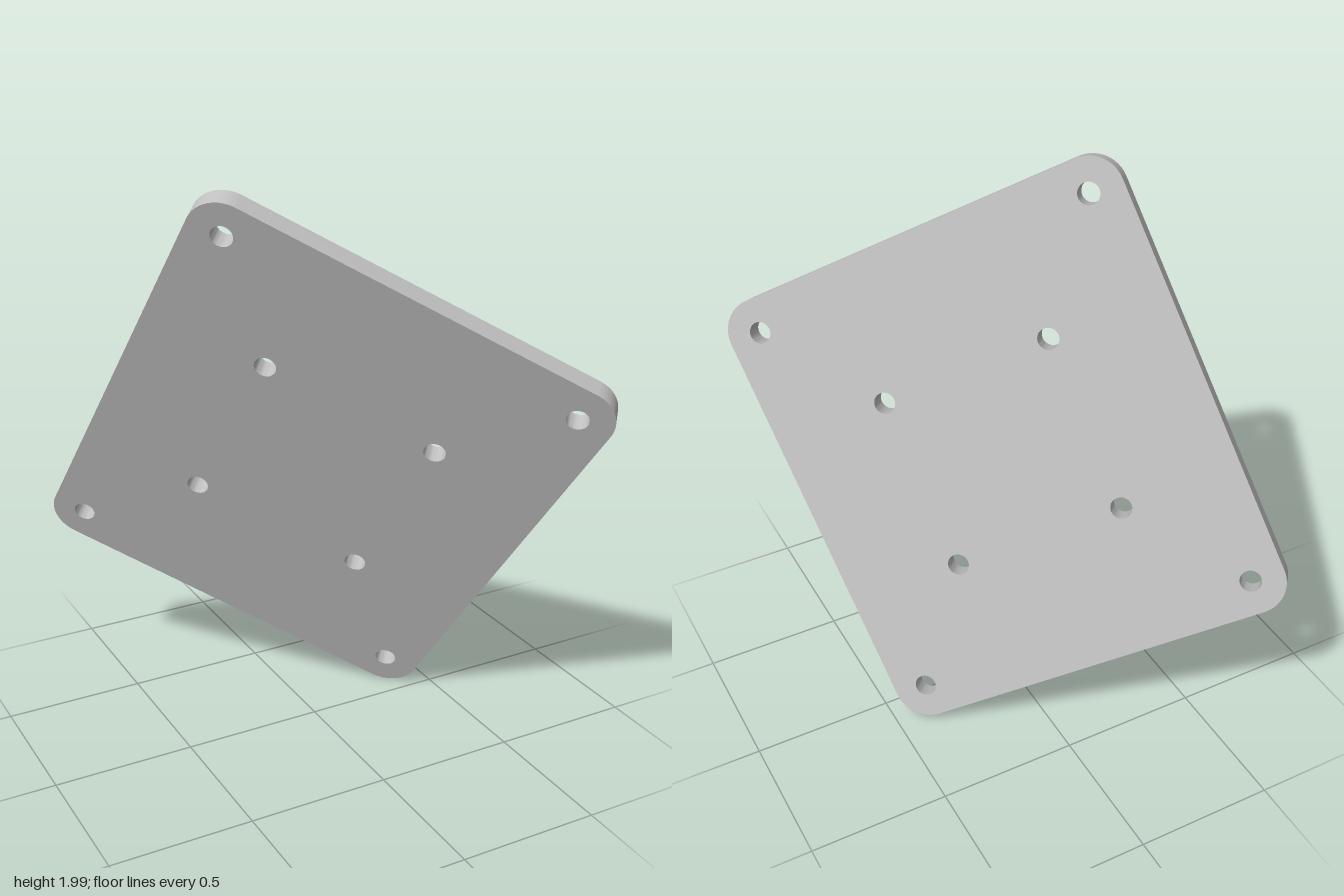
import * as THREE from 'three';
import { toCreasedNormals } from 'three/addons/utils/BufferGeometryUtils.js';

const HX = 0.63, HY = 0.704;   // corner hole offsets, also the corner arc centres
const CORNER = 0.12;           // corner radius
const INNER = 0.315;           // inner square hole offset
const HOLE = 0.038;            // hole radius
const THICK = 0.075;

// Rounded rectangle with one hole per corner and four in an inner square
function plateShape() {
  const s = new THREE.Shape();
  s.absarc(HX, HY, CORNER, 0, Math.PI / 2);
  s.absarc(-HX, HY, CORNER, Math.PI / 2, Math.PI);
  s.absarc(-HX, -HY, CORNER, Math.PI, Math.PI * 1.5);
  s.absarc(HX, -HY, CORNER, Math.PI * 1.5, Math.PI * 2);
  s.closePath();
  for (const [dx, dy] of [[HX, HY], [INNER, INNER]]) {
    for (const sx of [-1, 1]) for (const sy of [-1, 1]) {
      const hole = new THREE.Path();
      hole.absarc(sx * dx, sy * dy, HOLE, 0, Math.PI * 2, true);
      s.holes.push(hole);
    }
  }
  return s;
}

export function createModel() {
  const group = new THREE.Group();
  group.name = 'mountingPlate';

  const grey = new THREE.MeshStandardMaterial({ color: 0xc0c0c0 });
  grey.name = 'light grey';

  const extruded = new THREE.ExtrudeGeometry(plateShape(), {
    depth: THICK, bevelEnabled: false, curveSegments: 16,
  });
  extruded.translate(0, 0, -THICK / 2);
  const plate = new THREE.Mesh(toCreasedNormals(extruded, Math.PI / 5), grey);
  plate.name = 'drilledPlate';

  // Tilt the plate by its own width, height and thickness directions
  const u = new THREE.Vector3(0.757, -0.456, 0.468).normalize();
  const n = u.clone().cross(new THREE.Vector3(0.167, 0.8275, 0.536)).normalize();
  const v = n.clone().cross(u);
  plate.quaternion.setFromRotationMatrix(new THREE.Matrix4().makeBasis(u, v, n));
  plate.position.set(0, 1, 0);
  group.add(plate);
  return group;
}
